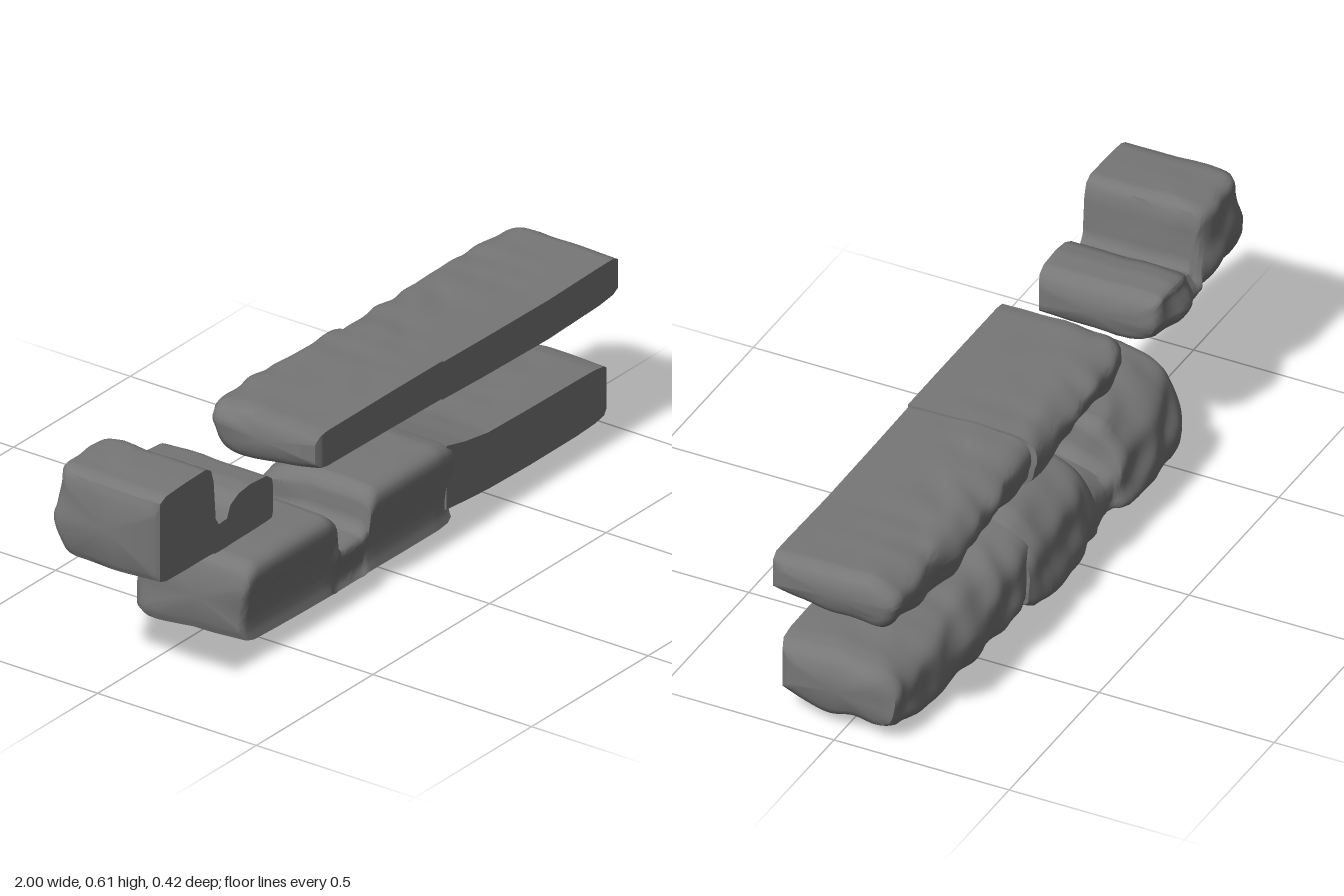
import * as THREE from 'three';
import { mergeVertices, toCreasedNormals } from 'three/addons/utils/BufferGeometryUtils.js';

const stone = new THREE.MeshStandardMaterial({ color: 0x777777 });

// Smooth bumps standing in for eroded rock
const bump = (a, b, c, s) =>
  0.45 * Math.sin(a * 23 + s + 2.4 * Math.sin(b * 19 + a * 7 + s)) +
  0.3 * Math.sin(a * 47 + c * 31 + s * 2.3 + 1.5 * Math.sin(a * 11 + s)) +
  0.35 * Math.sin(b * 43 + c * 23 + a * 13 + s * 1.7);

const spline = (pts, n) =>
  new THREE.CatmullRomCurve3(pts.map(([u, v]) => new THREE.Vector3(u, v, 0)), false, 'centripetal').getPoints(n);

// Cross-section: "over" runs from the front top round the back to the front bottom,
// "face" climbs the front again. u: 0 front to 1 back, v: 0 bottom to 1 top.
const section = (over, face) => [...spline(over, 44).slice(0, -1), ...spline(face, 12).slice(0, -1)];

const slabSection = section(
  [[0, 0.97], [0.3, 0.99], [0.65, 1], [0.86, 0.95], [0.97, 0.8], [1, 0.6], [0.975, 0.42], [0.93, 0.16], [0.86, 0.03], [0.73, 0], [0.5, 0.05], [0.23, 0.14], [0, 0.27]],
  [[0, 0.27], [0, 0.6], [0, 0.97]]);
const capSection = section(
  [[0, 1], [0.4, 1], [0.86, 1], [0.93, 0.95], [0.955, 0.8], [0.99, 0.6], [1, 0.4], [0.95, 0.18], [0.85, 0.02], [0.4, 0], [0, 0.03]],
  [[0, 0.03], [0, 0.5], [0, 1]]);
const ledgeSection = section(
  [[0.08, 0.99], [0.3, 1], [0.6, 0.98], [0.8, 0.88], [0.92, 0.7], [0.98, 0.45], [1, 0.2], [0.97, 0], [0.5, 0.03], [0.03, 0.08]],
  [[0.03, 0.08], [0.055, 0.22], [0.045, 0.45], [0.02, 0.65], [0, 0.82], [0.02, 0.94], [0.08, 0.99]]);
const footSection = section(
  [[0, 0.98], [0.3, 1], [0.6, 0.98], [0.85, 0.88], [0.96, 0.7], [1, 0.4], [0.975, 0.12], [0.87, 0.04], [0.65, 0.05], [0.42, 0], [0.2, 0.1], [0, 0.25]],
  [[0, 0.25], [0, 0.6], [0, 0.98]]);

// Loft a section through stations [x, bottom, top, back z, front z]
function rock(name, sec, stations, seed, rough) {
  const rows = [];
  stations.forEach((s, k) => {
    if (k === 0) { rows.push(s); return; }
    const p = stations[k - 1];
    const n = Math.max(1, Math.ceil((s[0] - p[0]) / 0.016), Math.ceil(Math.abs(s[2] - p[2]) / 0.02));
    for (let i = 1; i <= n; i++) rows.push(p.map((a, q) => a + (s[q] - a) * i / n));
  });
  const pos = [], index = [], m = sec.length;
  for (const [x, y0, y1, zb, zf] of rows) {
    for (const { x: u, y: v } of sec) {
      const y = y0 + (y1 - y0) * v, z = zf + (zb - zf) * u;
      const w = THREE.MathUtils.smoothstep(u, 0, 0.8);
      const under = 0.45 + 0.55 * (1 - v);
      const dy = bump(x, z, y, seed + 3) * 0.008 * rough * w * under;
      const dz = bump(x, y, z, seed) * 0.01 * w;
      const dx = bump(y, z, x, seed + 5) * 0.005 * w;
      pos.push(x + dx, Math.max(0, y + dy), z + dz);
    }
  }
  for (let i = 0; i < rows.length - 1; i++) {
    for (let j = 0; j < m; j++) {
      const a = i * m + j, b = i * m + (j + 1) % m, c = b + m, d = a + m;
      index.push(a, d, c, a, c, b);
    }
  }
  // End faces, slightly bulging
  [[0, -0.004], [rows.length - 1, 0.004]].forEach(([r, out]) => {
    const [x, y0, y1, zb, zf] = rows[r];
    const centre = pos.length / 3;
    pos.push(x + out, (y0 + y1) / 2, (zb + zf) / 2);
    for (let j = 0; j < m; j++) {
      const a = r * m + j, b = r * m + (j + 1) % m;
      index.push(centre, ...(r === 0 ? [a, b] : [b, a]));
    }
  });
  let geo = new THREE.BufferGeometry();
  geo.setAttribute('position', new THREE.Float32BufferAttribute(pos, 3));
  geo.setIndex(index);
  geo = toCreasedNormals(mergeVertices(geo), 0.8);
  const mesh = new THREE.Mesh(geo, stone);
  mesh.name = name;
  return mesh;
}

export function createModel() {
  const group = new THREE.Group();
  group.name = 'rockLedges';

  // Upper shelf, two pieces meeting at a seam
  group.add(rock('upperShelfRight', slabSection, [
    [-0.312, 0.405, 0.485, -0.14, 0.18], [-0.30, 0.38, 0.507, -0.16, 0.187],
    [-0.27, 0.37, 0.512, -0.175, 0.187], [0, 0.365, 0.513, -0.185, 0.187],
    [0.225, 0.36, 0.512, -0.185, 0.187]], 1, 1));
  group.add(rock('upperShelfLeft', slabSection, [
    [0.225, 0.355, 0.506, -0.17, 0.185], [0.4, 0.348, 0.503, -0.178, 0.185],
    [0.68, 0.342, 0.5, -0.19, 0.185], [0.9, 0.35, 0.505, -0.18, 0.185],
    [0.96, 0.36, 0.505, -0.172, 0.185], [0.985, 0.378, 0.492, -0.155, 0.182],
    [0.995, 0.4, 0.47, -0.13, 0.165]], 1, 1));

  // Small stepped stone with a narrow slot
  group.add(rock('steppedStone', capSection, [
    [-0.995, 0.38, 0.56, -0.125, 0.175], [-0.986, 0.36, 0.588, -0.145, 0.187],
    [-0.96, 0.352, 0.6, -0.16, 0.187], [-0.88, 0.35, 0.605, -0.165, 0.187],
    [-0.79, 0.35, 0.607, -0.165, 0.187], [-0.768, 0.35, 0.595, -0.16, 0.187],
    [-0.757, 0.35, 0.56, -0.155, 0.187], [-0.748, 0.35, 0.45, -0.15, 0.187],
    [-0.735, 0.35, 0.43, -0.145, 0.187], [-0.7, 0.35, 0.432, -0.15, 0.187],
    [-0.685, 0.35, 0.465, -0.16, 0.187], [-0.65, 0.35, 0.483, -0.17, 0.187],
    [-0.6, 0.35, 0.49, -0.172, 0.187], [-0.53, 0.352, 0.485, -0.16, 0.187],
    [-0.507, 0.355, 0.468, -0.145, 0.187], [-0.495, 0.37, 0.44, -0.115, 0.182]], 4, 0.6));

  // Lower ledge with a notch across it
  group.add(rock('notchedLedge', ledgeSection, [
    [-0.635, 0.07, 0.22, -0.1, 0.19], [-0.625, 0.04, 0.25, -0.14, 0.203],
    [-0.595, 0.03, 0.268, -0.175, 0.207], [-0.5, 0.025, 0.272, -0.2, 0.207],
    [-0.4, 0.022, 0.272, -0.205, 0.207], [-0.275, 0.02, 0.27, -0.195, 0.207],
    [-0.25, 0.02, 0.25, -0.185, 0.205], [-0.237, 0.02, 0.18, -0.17, 0.2],
    [-0.215, 0.02, 0.153, -0.165, 0.195], [-0.13, 0.02, 0.158, -0.17, 0.195],
    [-0.11, 0.02, 0.18, -0.18, 0.2], [-0.103, 0.02, 0.245, -0.185, 0.203],
    [-0.075, 0.02, 0.27, -0.195, 0.205], [0.05, 0.018, 0.272, -0.205, 0.205],
    [0.2, 0.018, 0.272, -0.205, 0.205], [0.245, 0.02, 0.262, -0.195, 0.2],
    [0.265, 0.03, 0.25, -0.18, 0.195]], 7, 0.6));

  // Lower rounded block that runs on from the ledge
  group.add(rock('lowerBlock', footSection, [
    [0.245, 0.015, 0.262, -0.175, 0.185], [0.32, 0.014, 0.245, -0.182, 0.187],
    [0.42, 0.01, 0.23, -0.185, 0.187], [0.6, 0.006, 0.226, -0.18, 0.187],
    [0.8, 0.008, 0.224, -0.168, 0.187], [0.88, 0.014, 0.222, -0.16, 0.187],
    [0.92, 0.024, 0.215, -0.153, 0.185], [0.945, 0.042, 0.198, -0.138, 0.175],
    [0.958, 0.075, 0.168, -0.105, 0.145]], 9, 1));

  return group;
}
